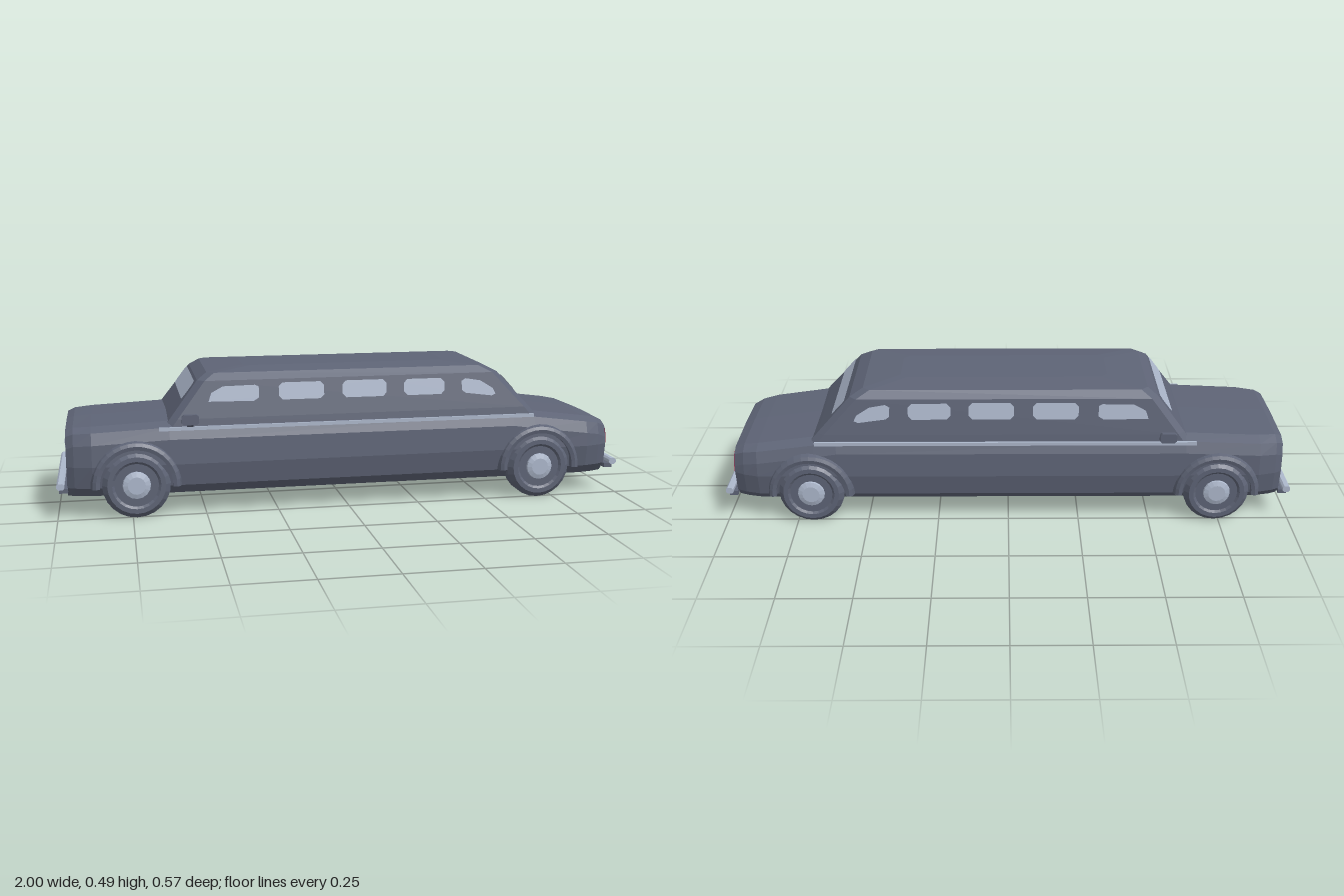
import * as THREE from 'three';

const paint = new THREE.MeshStandardMaterial({ color: 0x5e6476, flatShading: true, side: THREE.DoubleSide });
paint.name = 'slate paint';
const silver = new THREE.MeshStandardMaterial({ color: 0xadb8cc, flatShading: true, side: THREE.DoubleSide });
silver.name = 'silver glass and chrome';
const red = new THREE.MeshStandardMaterial({ color: 0xb03058, side: THREE.DoubleSide });
red.name = 'red lamp';

function add(parent, name, geometry, material, x = 0, y = 0, z = 0) {
  const mesh = new THREE.Mesh(geometry, material);
  mesh.name = name;
  mesh.position.set(x, y, z);
  parent.add(mesh);
  return mesh;
}

// Skin closed rings of equal point count and cap both ends
function loft(rings) {
  const tris = [], n = rings[0].length;
  for (let i = 0; i < rings.length - 1; i++) {
    for (let j = 0; j < n; j++) {
      const k = (j + 1) % n;
      const [a, b, c, d] = [rings[i][j], rings[i][k], rings[i + 1][k], rings[i + 1][j]];
      tris.push([a, b, c], [a, c, d]);
    }
  }
  const first = rings[0], last = rings[rings.length - 1];
  for (let j = 1; j < n - 1; j++) {
    tris.push([first[0], first[j + 1], first[j]], [last[0], last[j], last[j + 1]]);
  }
  // Turn the skin outwards if its signed volume is negative
  const v = (p) => new THREE.Vector3(...p);
  const volume = tris.reduce((s, [a, b, c]) => s + v(a).dot(v(b).cross(v(c))), 0);
  if (volume < 0) tris.forEach((t) => t.reverse());
  const g = new THREE.BufferGeometry();
  g.setAttribute('position', new THREE.Float32BufferAttribute(tris.flat(2), 3));
  g.computeVertexNormals();
  return g;
}

// Flat outline in (u, v), laid onto a surface by a rule
function plate(outline, rule) {
  const g = new THREE.ShapeGeometry(new THREE.Shape(outline.map(([u, v]) => new THREE.Vector2(u, v))));
  const p = g.attributes.position;
  for (let i = 0; i < p.count; i++) p.setXYZ(i, ...rule(p.getX(i), p.getY(i)));
  g.computeVertexNormals();
  return g;
}

// Rectangle with clipped corners
function clipped(u0, u1, v0, v1, c) {
  return [[u0 + c, v0], [u1 - c, v0], [u1, v0 + c], [u1, v1 - c], [u1 - c, v1], [u0 + c, v1], [u0, v1 - c], [u0, v0 + c]];
}

function bodySection([x, w, top]) {
  const half = [[0.8 * w, 0.07], [0.95 * w, 0.105], [w, 0.18], [0.985 * w, top - 0.06], [0.93 * w, top - 0.02], [0.78 * w, top - 0.004]];
  return [...half.map(([z, y]) => [x, y, z]), [x, top, 0], ...half.reverse().map(([z, y]) => [x, y, -z])];
}

function cabinRing([y, x0, x1, hz]) {
  return clipped(x0, x1, -hz, hz, 0.024).map(([x, z]) => [x, y, z]);
}

function createWheel() {
  const wheel = new THREE.Group();
  wheel.name = 'wheel';
  const lathe = (pts, n, start, len) =>
    new THREE.LatheGeometry(pts.map(([r, z]) => new THREE.Vector2(r, z)), n, start, len).rotateX(Math.PI / 2);
  add(wheel, 'tire', lathe([[0, 0.195], [0.098, 0.195], [0.115, 0.208], [0.115, 0.255], [0.098, 0.273], [0.082, 0.273], [0.074, 0.267], [0, 0.267]], 24), paint);
  add(wheel, 'hubcap', lathe([[0.048, 0.266], [0.046, 0.273], [0.03, 0.278], [0, 0.278]], 16), silver);
  add(wheel, 'wheelArch', lathe([[0.122, 0.24], [0.122, 0.275], [0.135, 0.278], [0.146, 0.272], [0.153, 0.25]], 18, Math.PI / 2 - 0.06, Math.PI + 0.12), paint);
  return wheel;
}

export function createModel() {
  const car = new THREE.Group();
  car.name = 'limousine';

  // Lower body, nose at -x
  add(car, 'body', loft([
    [-0.965, 0.23, 0.3], [-0.94, 0.245, 0.31], [-0.88, 0.262, 0.314], [-0.62, 0.265, 0.325],
    [0.6, 0.265, 0.325], [0.68, 0.265, 0.313], [0.88, 0.262, 0.287], [0.93, 0.247, 0.278], [0.965, 0.228, 0.262],
  ].map(bodySection)), paint);

  // Cabin and softly crowned roof
  add(car, 'cabin', loft([
    [0.29, -0.645, 0.7, 0.245], [0.33, -0.615, 0.665, 0.24], [0.455, -0.52, 0.55, 0.217],
    [0.478, -0.485, 0.505, 0.19], [0.488, -0.35, 0.38, 0.1],
  ].map(cabinRing)), paint);

  // Windscreen and rear window
  add(car, 'windscreen', plate(clipped(-0.187, 0.187, 0.388, 0.448, 0.012),
    (z, y) => [-0.618 + (y - 0.33) * 0.76, y + 0.002, z]), silver);
  add(car, 'rearWindow', plate(clipped(-0.195, 0.195, 0.386, 0.437, 0.006),
    (z, y) => [0.668 - (y - 0.33) * 0.92, y + 0.002, z]), silver);

  const windows = [
    [[-0.485, 0.386], [-0.33, 0.384], [-0.312, 0.395], [-0.312, 0.432], [-0.325, 0.438], [-0.435, 0.436], [-0.475, 0.415]],
    clipped(-0.243, -0.085, 0.385, 0.443, 0.013),
    clipped(-0.02, 0.137, 0.385, 0.443, 0.013),
    clipped(0.2, 0.347, 0.385, 0.441, 0.013),
    [[0.425, 0.386], [0.52, 0.374], [0.535, 0.38], [0.525, 0.4], [0.48, 0.428], [0.425, 0.437], [0.41, 0.428], [0.412, 0.395]],
  ];
  for (const s of [1, -1]) {
    // Side glass and waist trim
    for (const outline of windows) {
      add(car, 'sideWindow', plate(outline, (x, y) => [x, y, s * (0.243 - (y - 0.33) * 0.184)]), silver);
    }
    add(car, 'waistTrim', new THREE.BoxGeometry(1.33, 0.012, 0.008), silver, 0.01, 0.3, s * 0.25);

    // Mirror on a slanted arm
    add(car, 'mirrorArm', new THREE.BoxGeometry(0.02, 0.01, 0.045), paint, -0.55, 0.313, s * 0.257).rotation.x = -s * 0.5;
    add(car, 'mirror', loft([0.27, 0.286].map((z) => clipped(-0.58, -0.522, 0.318, 0.352, 0.007).map(([x, y]) => [x, y, s * z]))), paint);

    // Lamps
    add(car, 'tailLamp', plate([[0.173, 0.18], [0.225, 0.18], [0.225, 0.205], [0.215, 0.232], [0.2, 0.245], [0.173, 0.245]],
      (z, y) => [0.967, y, s * z]), red);
    add(car, 'headLamp', plate(clipped(0.155, 0.205, 0.238, 0.27, 0.008), (z, y) => [-0.967, y, s * z]), silver);

    // Bumpers, one pair per end
    const bar = loft([-0.25, 0.25].map((z) => clipped(-0.013, 0.013, -0.011, 0.011, 0.006).map(([x, y]) => [x, y, z])));
    add(car, 'bumper', bar, silver, s * 0.987, 0.116, 0);
    add(car, 'bumperLip', new THREE.BoxGeometry(0.03, 0.016, 0.46), paint, s * 0.978, 0.097, 0);

    // Wheels with arches
    for (const x of [-0.735, 0.695]) {
      const wheel = createWheel();
      wheel.position.set(x, 0.115, 0);
      if (s < 0) wheel.rotation.y = Math.PI;
      car.add(wheel);
    }
  }
  add(car, 'bootTrim', new THREE.BoxGeometry(0.008, 0.011, 0.43), silver, 0.966, 0.171, 0);
  return car;
}
